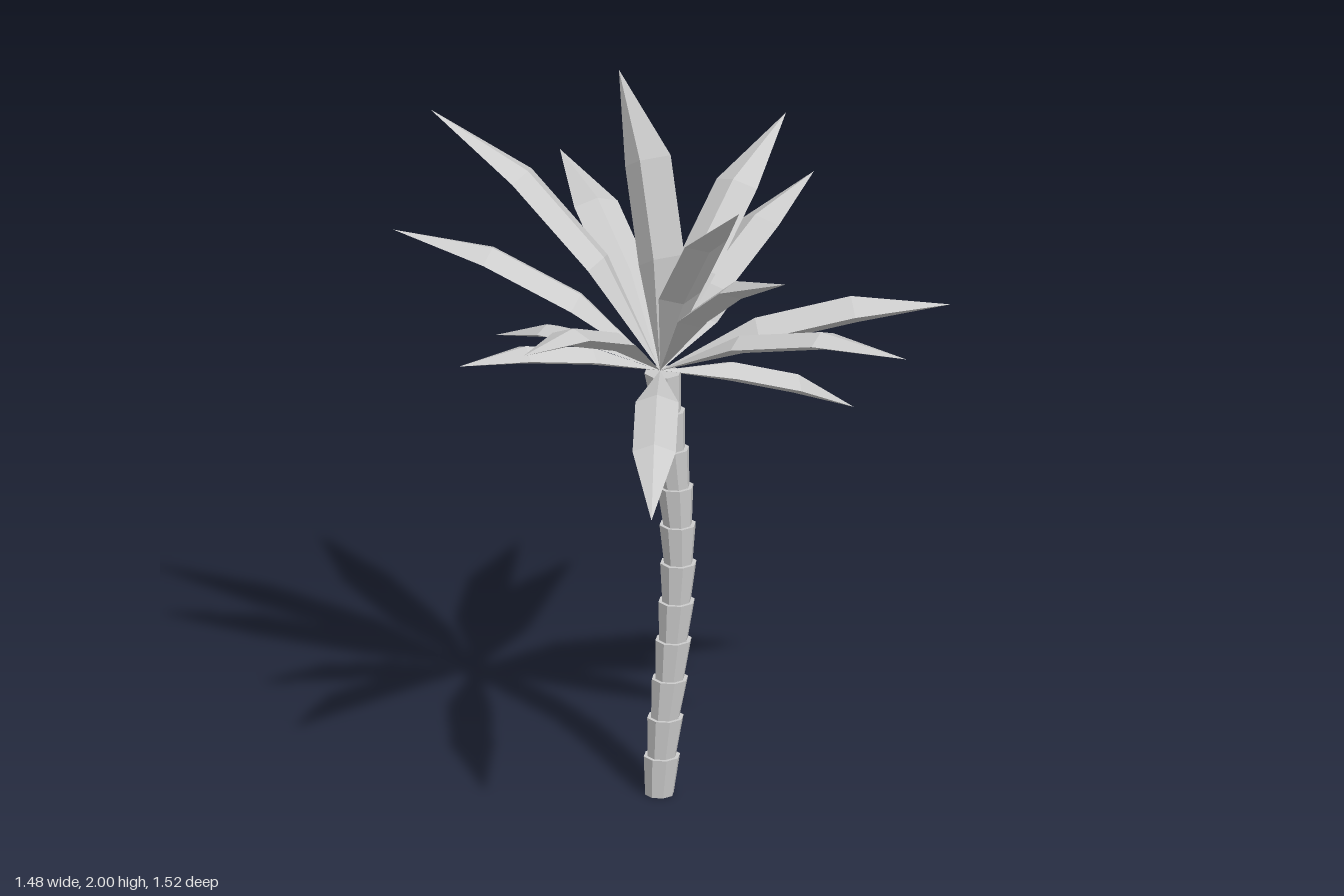
import * as THREE from 'three';

const material = new THREE.MeshStandardMaterial({ color: 0xcccccc, flatShading: true, side: THREE.DoubleSide });
const crown = new THREE.Vector3(-0.06, 1.265, -0.025);

// One trunk ring: a cup flaring upwards, sheared to follow the bend
function trunkRing(x0, x1, y, height) {
  const geometry = new THREE.CylinderGeometry(0.052, 0.041, height, 8);
  const p = geometry.attributes.position;
  for (let i = 0; i < p.count; i++) {
    const t = p.getY(i) / height + 0.5;
    p.setX(i, p.getX(i) + THREE.MathUtils.lerp(x0, x1, t));
  }
  geometry.translate(0, y + height / 2, crown.z);
  return new THREE.Mesh(geometry, material);
}

// One palm leaf: an arched solid blade with a ridge above and a keel below.
// width is half its breadth; roll (degrees) lifts its right half, looking outwards.
function leaf([x, y, z, width, roll]) {
  const tip = new THREE.Vector3(x, y, z);
  const along = tip.clone().sub(crown);
  const length = along.length();
  along.normalize();
  const side = new THREE.Vector3().crossVectors(along, new THREE.Vector3(0, 1, 0)).normalize();
  const normal = new THREE.Vector3().crossVectors(side, along);
  const angle = THREE.MathUtils.degToRad(roll);
  // Section corners relative to the ridge: ridge, right edge, keel, left edge
  const section = [[0, 0], [1, -0.4], [0, -0.85], [-1, -0.4]];
  const points = [crown];
  for (const t of [0.35, 0.68]) {
    const ridge = crown.clone().addScaledVector(along, t * length).addScaledVector(normal, 0.11 * length);
    for (const [u, v] of section) {
      points.push(ridge.clone()
        .addScaledVector(side, width * (u * Math.cos(angle) - v * Math.sin(angle)))
        .addScaledVector(normal, width * (u * Math.sin(angle) + v * Math.cos(angle))));
    }
  }
  points.push(tip);
  const index = [];
  for (let i = 0; i < 4; i++) {
    const a = 1 + i, b = 1 + (i + 1) % 4;
    index.push(0, b, a, a, b, b + 4, a, b + 4, a + 4, a + 4, b + 4, 9);
  }
  const geometry = new THREE.BufferGeometry().setFromPoints(points);
  geometry.setIndex(index);
  const flat = geometry.toNonIndexed();
  flat.computeVertexNormals();
  return new THREE.Mesh(flat, material);
}

export function createModel() {
  const model = new THREE.Group();
  model.name = 'palmTree';

  // Bent trunk of stacked rings
  const trunk = new THREE.Group();
  trunk.name = 'trunk';
  const bend = [-0.062, -0.055, -0.045, -0.032, -0.022, -0.013, -0.008, -0.01, -0.017, -0.03, -0.041, -0.053];
  const height = 1.26 / 11;
  for (let i = 0; i < 11; i++) {
    const ring = trunkRing(bend[i], bend[i + 1], i * height, height);
    ring.name = `trunkRing${i + 1}`;
    trunk.add(ring);
  }
  model.add(trunk);

  // Leaves: tip x, y, z, half width, roll
  const leaves = new THREE.Group();
  leaves.name = 'leaves';
  [
    [-0.16, 1.65, -0.76, 0.065, 0],
    [0.27, 1.19, -0.715, 0.1, 14],
    [-0.41, 1.22, -0.5, 0.045, 0],
    [-0.61, 1.935, -0.45, 0.068, 0],
    [-0.74, 1.625, -0.355, 0.073, 0],
    [-0.64, 1.34, -0.01, 0.06, 0],
    [-0.595, 1.58, 0.535, 0.06, 0],
    [-0.285, 1.145, 0.76, 0.06, 0],
    [0.035, 1.925, 0.49, 0.065, 0],
    [0.135, 1.755, 0.62, 0.062, 0],
    [0.5, 1.465, 0.545, 0.06, 0],
    [0.735, 1.44, 0.12, 0.092, 5],
    [0.495, 1.1, -0.025, 0.065, 0],
    [0.48, 1.655, -0.415, 0.075, 10],
    [0.405, 1.83, -0.435, 0.068, 0],
    [-0.07, 2.0, -0.45, 0.085, 55],
  ].forEach((spec, i) => {
    const blade = leaf(spec);
    blade.name = `leaf${i + 1}`;
    leaves.add(blade);
  });
  model.add(leaves);
  return model;
}
